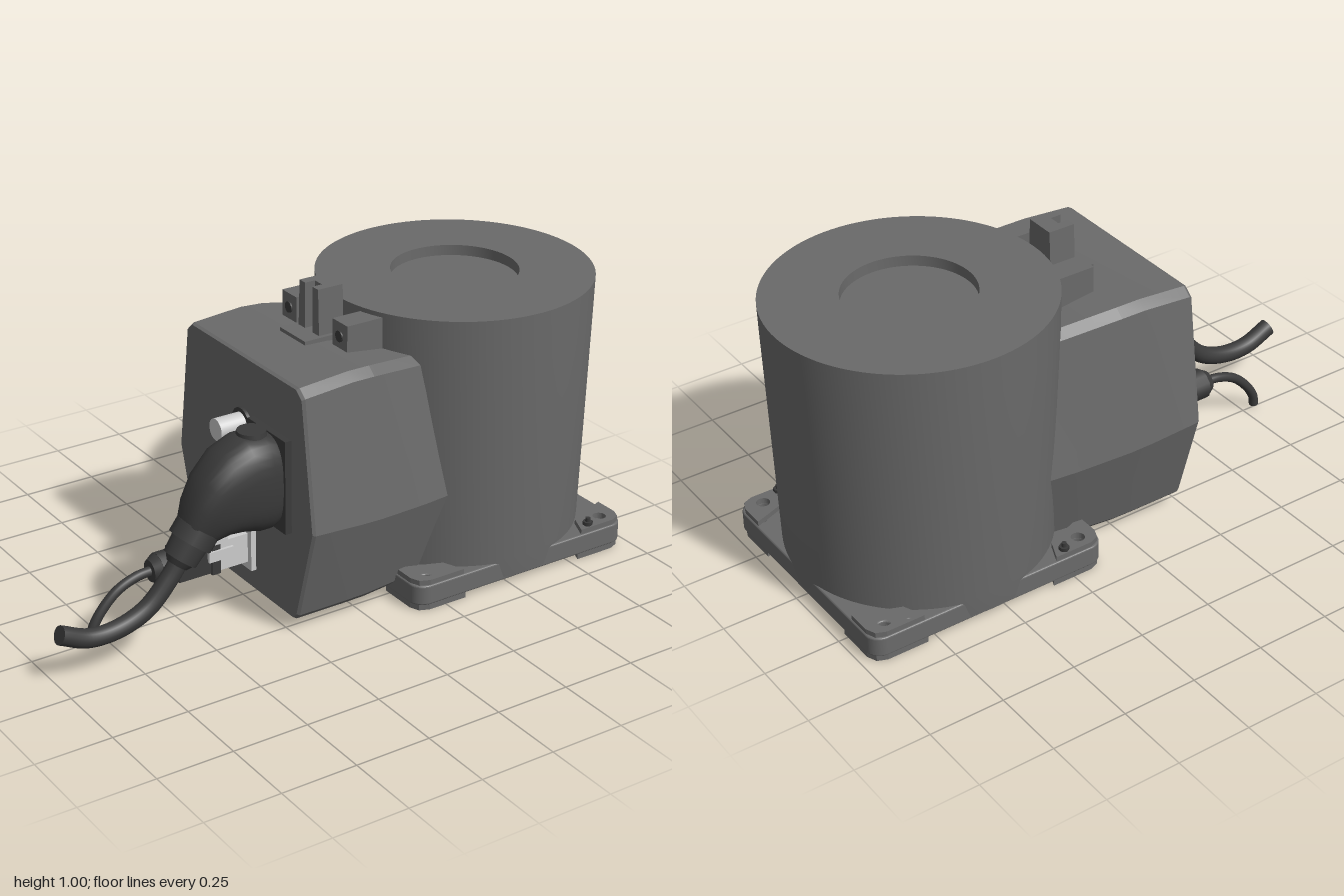
import * as THREE from 'three';
import { mergeVertices, toCreasedNormals } from 'three/addons/utils/BufferGeometryUtils.js';

const shell = new THREE.MeshStandardMaterial({ color: 0x6a6a6a });
const dark = new THREE.MeshStandardMaterial({ color: 0x3a3a3a });
const metal = new THREE.MeshStandardMaterial({ color: 0xcccccc });
const V = (x, y, z) => new THREE.Vector3(x, y, z);

export function createModel() {
  const model = new THREE.Group();
  model.name = 'robotBase';
  const CX = 0.555; // axis of the round body

  function add(name, geometry, material, x = 0, y = 0, z = 0) {
    const mesh = new THREE.Mesh(geometry, material);
    mesh.name = name;
    mesh.position.set(x, y, z);
    model.add(mesh);
    return mesh;
  }
  const box = (name, mat, w, h, d, x, y, z) => add(name, new THREE.BoxGeometry(w, h, d), mat, x, y, z);

  // Cylinder running from point a to point b
  function rod(name, mat, a, b, r, r2 = r, sides = 32) {
    const dir = b.clone().sub(a);
    const m = add(name, new THREE.CylinderGeometry(r2, r, dir.length(), sides), mat);
    m.position.copy(a).add(b).multiplyScalar(0.5);
    m.quaternion.setFromUnitVectors(V(0, 1, 0), dir.normalize());
    return m;
  }

  // Plan shape (x, z) extruded upwards from y0 to y1
  function slab(shape, y0, y1, bevel = 0) {
    const g = new THREE.ExtrudeGeometry(shape, {
      depth: y1 - y0 - 2 * bevel, bevelEnabled: bevel > 0, bevelSize: bevel,
      bevelOffset: -bevel, bevelThickness: bevel, bevelSegments: 3, curveSegments: 16,
    });
    return g.rotateX(-Math.PI / 2).translate(0, y0 + bevel, 0);
  }

  // Skin over a row of equal-sized rings, closed at both ends
  function loft(rings, crease) {
    const n = rings[0].length, pos = [], idx = [];
    rings.forEach(r => r.forEach(p => pos.push(p.x, p.y, p.z)));
    for (let i = 0; i < rings.length - 1; i++) {
      for (let j = 0; j < n; j++) {
        const a = i * n + j, b = i * n + (j + 1) % n;
        idx.push(a, a + n, b, b, a + n, b + n);
      }
    }
    const last = (rings.length - 1) * n;
    for (let j = 1; j < n - 1; j++) {
      idx.push(0, j, j + 1, last, last + j + 1, last + j);
    }
    const g = new THREE.BufferGeometry();
    g.setAttribute('position', new THREE.Float32BufferAttribute(pos, 3));
    g.setIndex(idx);
    return toCreasedNormals(mergeVertices(g), crease);
  }

  // Round body with a recess in the top
  const profile = [[0, 0.03], [0.418, 0.03], [0.424, 0.1], [0.442, 0.8], [0.445, 0.935],
    [0.205, 0.935], [0.205, 0.9], [0, 0.9]].map(p => new THREE.Vector2(...p));
  add('body', toCreasedNormals(new THREE.LatheGeometry(profile, 96), 0.5), shell, CX);

  // Base plate with corner holes
  const hx = 0.418, hz = 0.41, rc = 0.05;
  const holes = [[0.35, 0.36, 0.022], [0.28, 0.385, 0.011], [0.385, 0.3, 0.008]];
  const plate = new THREE.Shape();
  [[1, 1, 0], [-1, 1, 1], [-1, -1, 2], [1, -1, 3]].forEach(([sx, sz, q]) => {
    plate.absarc(sx * (hx - rc), sz * (hz - rc), rc, q * Math.PI / 2, (q + 1) * Math.PI / 2);
  });
  function punch(shape, sx, sz, list) {
    list.forEach(([x, z, r]) => shape.holes.push(new THREE.Path().absarc(sx * x, sz * z, r, 0, Math.PI * 2, true)));
  }
  const corners = [[1, 1], [-1, 1], [-1, -1], [1, -1]];
  corners.forEach(([sx, sz]) => punch(plate, sx, sz, holes));
  add('basePlate', slab(plate, 0.02, 0.088, 0.006), shell, CX);

  // Raised pads above and feet below each corner
  function cornerShape(sx, sz, lx, lz, list) {
    const pts = [[hx - lx, hz - 0.005], [hx - 0.05, hz - 0.005], [hx - 0.018, hz - 0.018], [hx - 0.005, hz - 0.05],
      [hx - 0.005, hz - lz], [hx - 0.06, hz - lz + 0.02], [hx - lx + 0.03, hz - 0.075]];
    const s = new THREE.Shape(pts.map(([x, z]) => new THREE.Vector2(sx * x, sz * z)));
    punch(s, sx, sz, list);
    return s;
  }
  corners.forEach(([sx, sz]) => {
    add('cornerPad', slab(cornerShape(sx, sz, 0.18, 0.13, holes.slice(0, 2)), 0.085, 0.105), shell, CX);
    add('foot', slab(cornerShape(sx, sz, 0.19, 0.18, holes.slice(0, 2)), 0, 0.024), shell, CX);
  });

  // Earth studs on opposite corners and a screw under the plate
  [[0.835, 0.385], [0.275, -0.385]].forEach(([x, z]) => {
    rod('studNut', dark, V(x, 0.1, z), V(x, 0.117, z), 0.017, 0.017, 6);
    rod('stud', dark, V(x, 0.08, z), V(x, 0.13, z), 0.008);
  });
  rod('underScrew', dark, V(0.9, 0.008, 0), V(0.9, 0.022, 0), 0.017);

  // Faceted connection housing: x, bottom, crease and top heights, then half-widths
  const stations = [
    [-0.24, 0.045, 0.375, 0.82, 0.295, 0.383, 0.325],
    [-0.23, 0.04, 0.373, 0.825, 0.3, 0.388, 0.33],
    [-0.06, 0.04, 0.362, 0.838, 0.3, 0.385, 0.33],
    [0.02, 0.04, 0.357, 0.835, 0.298, 0.38, 0.325],
    [0.2, 0.04, 0.347, 0.812, 0.275, 0.357, 0.29],
    [0.36, 0.04, 0.34, 0.79, 0.25, 0.33, 0.25],
  ];
  add('connectionHousing', loft(stations.map(([x, b, m, t, wb, wm, wt]) => {
    const half = [[b, wb - 0.02], [b + 0.02, wb], [m, wm], [t - 0.025, wt], [t, wt - 0.03]];
    return [...half.map(([y, z]) => V(x, y, z)), ...half.reverse().map(([y, z]) => V(x, y, -z))];
  }), 0.15), shell);

  // Notched latch post on top, narrowing upwards
  const post = new THREE.Shape([[0, -0.058], [0.09, -0.058], [0.09, 0.058], [0, 0.058], [0, 0.022],
    [0.035, 0.022], [0.035, -0.022], [0, -0.022]].map(p => new THREE.Vector2(...p)));
  const postGeo = slab(post, 0.82, 1.0);
  const pp = postGeo.attributes.position;
  for (let i = 0; i < pp.count; i++) if (pp.getY(i) > 0.95) pp.setZ(i, pp.getZ(i) * 0.88);
  postGeo.computeVertexNormals();
  add('latchPost', postGeo, shell);
  box('latchFoot', shell, 0.15, 0.03, 0.14, 0.015, 0.835, 0);

  // Side blocks beside the latch
  [-1, 1].forEach(s => {
    box('latchBlock', shell, 0.13, 0.11, 0.08, 0.085, 0.865, s * 0.14);
    rod('blockPin', dark, V(0.015, 0.875, s * 0.14), V(0.03, 0.875, s * 0.14), 0.018);
  });

  // Large elbow plug: x, y, heading in degrees, half-height, half-width
  const PZ = 0.165;
  const elbow = [
    [-0.255, 0.49, 180, 0.148, 0.095], [-0.29, 0.492, 182, 0.16, 0.105], [-0.34, 0.492, 187, 0.16, 0.107],
    [-0.39, 0.48, 198, 0.146, 0.105], [-0.44, 0.45, 212, 0.118, 0.096], [-0.48, 0.415, 225, 0.088, 0.082],
    [-0.51, 0.38, 233, 0.064, 0.064],
  ];
  const sq = v => Math.sign(v) * Math.abs(v) ** 0.75;
  add('elbowHood', loft(elbow.map(([x, y, deg, hh, hw]) => {
    const a = (deg + 90) * Math.PI / 180;
    return Array.from({ length: 32 }, (_, k) => {
      const t = k / 32 * Math.PI * 2, h = sq(Math.sin(t)) * hh;
      return V(x + Math.cos(a) * h, y + Math.sin(a) * h, PZ + sq(Math.cos(t)) * hw);
    });
  }), 0.7), dark);
  box('elbowFlange', dark, 0.025, 0.31, 0.21, -0.25, 0.49, PZ);
  rod('elbowBoss', dark, V(-0.315, 0.63, PZ), V(-0.315, 0.66, PZ), 0.05, 0.045);

  // Gland nuts and the thick cable
  const along = t => V(-0.5 - 0.6 * t, 0.395 - 0.8 * t, PZ);
  rod('glandNut', dark, along(0.01), along(0.06), 0.072, 0.072, 12);
  rod('gland', dark, along(0.055), along(0.12), 0.06, 0.055);
  rod('glandEnd', dark, along(0.115), along(0.14), 0.05, 0.035);

  function cable(name, pts, r) {
    const curve = new THREE.CatmullRomCurve3(pts);
    add(name, new THREE.TubeGeometry(curve, 40, r, 16), dark);
    [0, 1].forEach(t => {
      const d = curve.getTangent(t).multiplyScalar(t ? 0.001 : -0.001), p = curve.getPoint(t);
      rod(name + 'End', dark, p, p.clone().add(d), r, r, 16);
    });
  }
  cable('thickCable', [V(-0.56, 0.315, PZ), V(-0.61, 0.245, PZ), V(-0.69, 0.165, PZ), V(-0.79, 0.127, PZ),
    V(-0.89, 0.127, PZ), V(-0.984, 0.167, PZ)], 0.03);

  // Small straight plug with clips
  box('smallFlange', metal, 0.02, 0.15, 0.13, -0.248, 0.19, 0);
  box('smallSocket', metal, 0.11, 0.1, 0.09, -0.305, 0.19, 0);
  box('smallPlug', dark, 0.15, 0.095, 0.085, -0.43, 0.185, 0);
  box('plugCollar', dark, 0.03, 0.11, 0.1, -0.375, 0.188, 0);
  [-1, 1].forEach(s => box('lockingClip', metal, 0.09, 0.035, 0.01, -0.36, 0.2, s * 0.052));
  box('clipBridge', metal, 0.05, 0.015, 0.11, -0.36, 0.246, 0);
  add('clipWire', new THREE.TorusGeometry(0.03, 0.003, 8, 20, Math.PI), metal, -0.41, 0.255, 0).rotation.z = Math.PI / 2;
  rod('smallGland', dark, V(-0.5, 0.185, 0), V(-0.56, 0.185, 0), 0.052, 0.052, 12);
  rod('smallGlandEnd', dark, V(-0.56, 0.185, 0), V(-0.585, 0.185, 0), 0.05, 0.035);
  cable('thinCable', [V(-0.57, 0.185, 0), V(-0.63, 0.18, 0), V(-0.7, 0.152, 0), V(-0.76, 0.095, 0),
    V(-0.79, 0.045, 0), V(-0.795, 0.013, 0)], 0.016);

  // Round service port with the plugged hole below it
  rod('servicePortBase', dark, V(-0.235, 0.6, 0), V(-0.25, 0.6, 0), 0.05);
  rod('servicePort', metal, V(-0.24, 0.6, 0), V(-0.34, 0.6, 0), 0.036);
  rod('portHole', dark, V(-0.235, 0.49, 0), V(-0.245, 0.49, 0), 0.022);

  return model;
}
